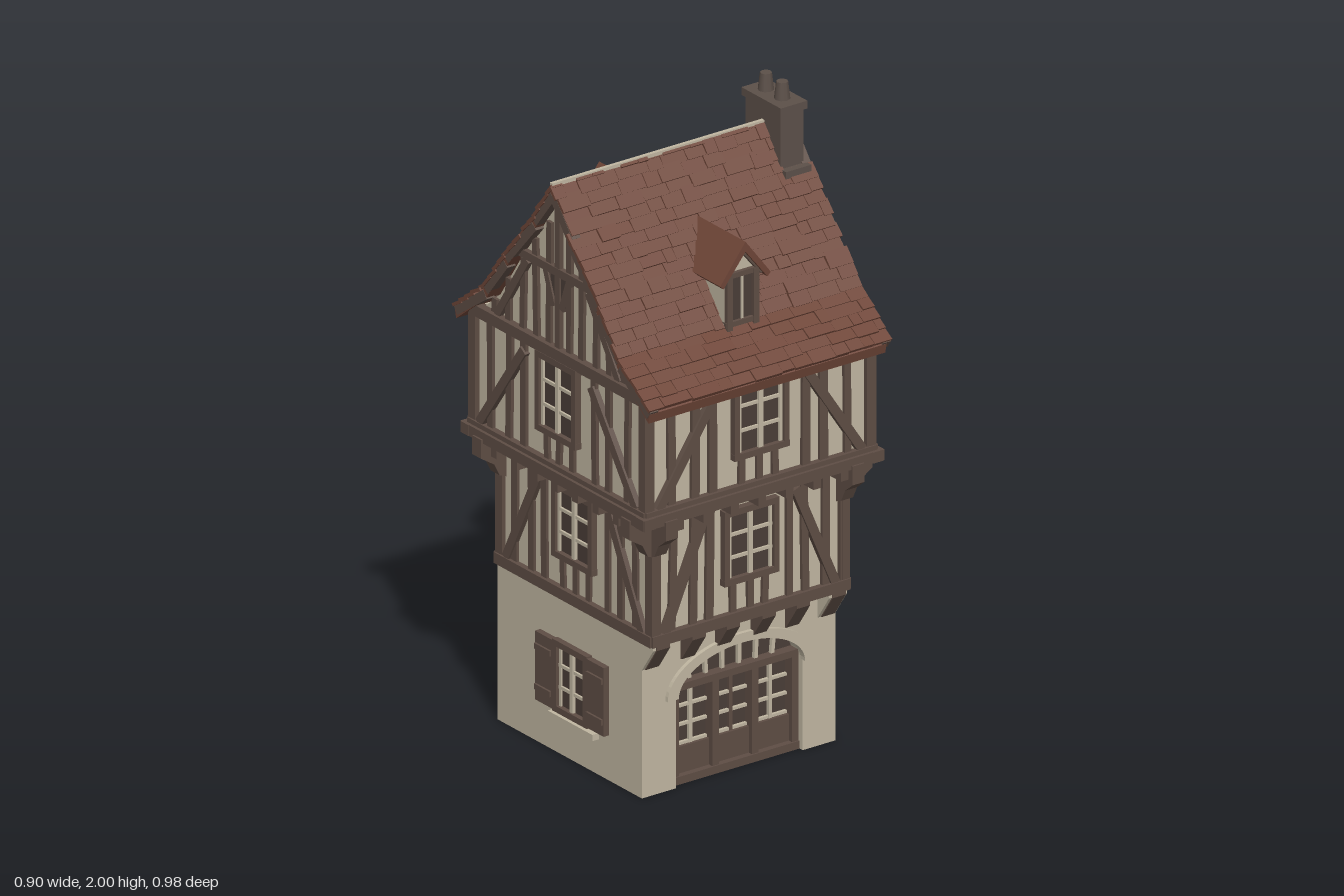
import * as THREE from 'three';
import { mergeGeometries } from 'three/addons/utils/BufferGeometryUtils.js';

const mat = (name, color) => {
  const m = new THREE.MeshStandardMaterial({ color });
  m.name = name;
  return m;
};

export function createModel() {
  const plaster = mat('plaster', 0xc0b6a1);
  const timber = mat('timber', 0x5e4d44);
  const tile = mat('roofTile', 0x6e4537);
  const glass = mat('darkGlass', 0x4a3d37);
  const stone = mat('chimneyStone', 0x5c5049);

  let seed = 7;
  const rand = () => (seed = (seed * 16807) % 2147483647) / 2147483647;
  const jit = (a) => (rand() - 0.5) * 2 * a;

  const house = new THREE.Group();
  house.name = 'timberFramedHouse';
  const group = (name, parent = house, rotY = 0) => {
    const g = new THREE.Group();
    g.name = name;
    g.rotation.y = rotY;
    parent.add(g);
    return g;
  };
  const add = (parent, name, geo, m) => {
    const mesh = new THREE.Mesh(geo, m);
    mesh.name = name;
    parent.add(mesh);
    return mesh;
  };
  // Box given by its limits
  const box = (p, name, m, x0, x1, y0, y1, z0, z1) => {
    const geo = new THREE.BoxGeometry(x1 - x0, y1 - y0, z1 - z0);
    geo.translate((x0 + x1) / 2, (y0 + y1) / 2, (z0 + z1) / 2);
    return add(p, name, geo, m);
  };
  // Beam lying on a facade from (u1, v1) to (u2, v2), outer face at d
  const beam = (p, name, u1, v1, u2, v2, w, d, m = timber, depth = 0.025) => {
    const geo = new THREE.BoxGeometry(w, Math.hypot(u2 - u1, v2 - v1), depth);
    geo.rotateZ(-Math.atan2(u2 - u1, v2 - v1));
    geo.translate((u1 + u2) / 2, (v1 + v2) / 2, d - depth / 2);
    return add(p, name, geo, m);
  };
  const extrude = (shape, z0, z1) => new THREE.ExtrudeGeometry(shape,
    { depth: z1 - z0, bevelEnabled: false, curveSegments: 16 }).translate(0, 0, z0);
  const poly = (pts) => new THREE.Shape(pts.map(([x, y]) => new THREE.Vector2(x, y)));
  // Side profile (z, y) swept from x0 to x1
  const sweepX = (pts, x0, x1) =>
    extrude(poly(pts), 0, x1 - x0).rotateY(-Math.PI / 2).translate(x1, 0, 0);

  // Roof profile, ridge to eaves
  const prof = [[0, 1.868], [0.09, 1.74], [0.23, 1.57], [0.33, 1.435], [0.48, 1.318]];
  const roofY = (z) => {
    z = Math.abs(z);
    let i = 1;
    while (i < prof.length - 1 && prof[i][0] < z) i++;
    const [a, b] = [prof[i - 1], prof[i]];
    return a[1] + ((z - a[0]) / (b[0] - a[0])) * (b[1] - a[1]);
  };
  const across = (drop, shrink = 1) => {
    const half = prof.map(([z, y]) => [z * shrink, y - drop]);
    return [...half.slice(1).reverse().map(([z, y]) => [-z, y]), ...half];
  };

  // Ground floor
  const ground = group('groundFloor');
  box(ground, 'groundWalls', plaster, -0.355, 0.35, 0, 0.51, -0.38, 0.27);
  const front = poly([[-0.355, 0], [-0.355, 0.51], [0.35, 0.51], [0.35, 0], [0.23, 0], [0.23, 0.3]]);
  front.absellipse(0, 0.3, 0.23, 0.115, 0, Math.PI, false);
  front.lineTo(-0.23, 0);
  add(ground, 'frontWall', extrude(front, 0.27, 0.33), plaster);
  const arch = new THREE.Shape();
  arch.absellipse(0, 0.29, 0.27, 0.15, 0, Math.PI, false);
  arch.lineTo(-0.23, 0.29);
  arch.absellipse(0, 0.29, 0.23, 0.12, Math.PI, 0, true);
  add(ground, 'archMoulding', extrude(arch, 0.32, 0.343), plaster);
  const flare = [[0.31, 0.41], [0.33, 0.41], [0.385, 0.49], [0.385, 0.51], [0.31, 0.51]];
  add(ground, 'flaredPier', sweepX(flare, -0.355, -0.29), plaster);
  add(ground, 'flaredPier', sweepX(flare, 0.285, 0.35), plaster);
  for (const x of [-0.32, -0.19, -0.065, 0.065, 0.19, 0.32])
    add(ground, 'corbel', sweepX(flare.map(([z, y]) => [z + 0.004, y]), x - 0.024, x + 0.024), timber);

  // Arched glazed entrance
  const door = group('entrance', ground);
  const opening = poly([[-0.23, 0.015], [0.23, 0.015], [0.23, 0.3]]);
  opening.absellipse(0, 0.3, 0.23, 0.115, 0, Math.PI, false);
  add(door, 'doorGlass', extrude(opening, 0.27, 0.276), glass);
  box(door, 'threshold', timber, -0.23, 0.23, 0, 0.025, 0.26, 0.315);
  for (const x of [-0.218, -0.072, 0.072, 0.218]) beam(door, 'doorPost', x, 0.02, x, 0.31, 0.024, 0.31, timber, 0.04);
  beam(door, 'transom', -0.23, 0.307, 0.23, 0.307, 0.022, 0.31, timber, 0.04);
  for (const x of [-0.145, 0, 0.145]) {
    box(door, 'lowerPanel', timber, x - 0.062, x + 0.062, 0.025, 0.11, 0.27, 0.295);
    beam(door, 'doorMuntin', x, 0.11, x, 0.3, 0.012, 0.287, x ? plaster : timber, 0.012);
    for (const y of [0.115, 0.175, 0.235]) beam(door, 'doorRail', x - 0.06, y, x + 0.06, y, 0.009, 0.286, plaster, 0.01);
  }
  for (const x of [-0.15, -0.09, -0.03, 0.03, 0.09, 0.15])
    beam(door, 'fanlightBar', x, 0.31, x * 1.05, 0.3 + 0.11 * Math.sqrt(1 - (x / 0.23) ** 2), 0.012, 0.29, plaster, 0.012);

  // Casement window with pale glazing bars
  const casement = (p, d, w, v0, v1, rows = 3) => {
    const g = group('window', p);
    box(g, 'windowPane', glass, -w, w, v0, v1, d - 0.008, d);
    for (const v of [v0, v1]) beam(g, 'windowRail', -w - 0.01, v, w + 0.01, v, 0.02, d + 0.016);
    for (const u of [-w, w]) beam(g, 'windowJamb', u, v0, u, v1, 0.018, d + 0.016);
    beam(g, 'windowMullion', 0, v0, 0, v1, 0.016, d + 0.01, plaster, 0.012);
    for (const u of [-w + 0.016, w - 0.016]) beam(g, 'sash', u, v0 + 0.01, u, v1 - 0.01, 0.01, d + 0.007, plaster, 0.01);
    for (let i = 1; i < rows; i++) {
      const v = v0 + ((v1 - v0) * i) / rows;
      beam(g, 'glazingBar', -w + 0.01, v, w - 0.01, v, 0.01, d + 0.007, plaster, 0.01);
    }
  };

  // Upper floors
  box(house, 'middleFloorWalls', plaster, -0.347, 0.347, 0.51, 0.93, -0.37, 0.37);
  box(house, 'upperFloorWalls', plaster, -0.405, 0.405, 0.94, 1.34, -0.42, 0.42);
  box(house, 'jettyFloor', timber, -0.415, 0.415, 0.915, 0.95, -0.435, 0.435);

  // Timber framing of one floor on one facade
  const frame = (p, d, h, y0, y1, w0, w1) => {
    beam(p, 'sillBeam', -h, y0 + 0.015, h, y0 + 0.015, 0.035, d + 0.006, timber, 0.04);
    beam(p, 'headBeam', -h, y1 - 0.012, h, y1 - 0.012, 0.028, d, timber);
    for (const s of [-1, 1]) {
      beam(p, 'cornerPost', s * (h - 0.016), y0, s * (h - 0.016), y1, 0.034, d);
      for (const k of [0.77, 0.56, 0.4])
        beam(p, 'stud', s * h * k + jit(0.006), y0, s * h * k + jit(0.006), y1, 0.026 + jit(0.004), d - 0.004);
      beam(p, 'brace', s * (h - 0.05), y0 + 0.03, s * 0.165, y1 - 0.05, 0.03, d + 0.003);
    }
    for (const u of [-0.06, 0, 0.06]) beam(p, 'shortStud', u + jit(0.006), y0, u + jit(0.006), w0, 0.022, d - 0.004);
    casement(p, d - 0.008, 0.09, w0, w1);
  };

  const sides = [['front', 0, 0], ['right', Math.PI / 2, 1], ['back', Math.PI, 0], ['left', -Math.PI / 2, 1]];
  for (const [name, rot, gable] of sides) {
    const g = group(name + 'Facade', house, rot);
    const d2 = gable ? 0.36 : 0.385, h2 = gable ? 0.385 : 0.36;
    const d3 = gable ? 0.42 : 0.435, h3 = gable ? 0.435 : 0.42;
    frame(g, d2, h2, 0.505, 0.925, 0.64, 0.86);
    frame(g, d3, h3, 0.935, 1.325, 1.06, 1.295);
    beam(g, 'jettyBeam', -h3 - 0.018, 0.935, h3 + 0.018, 0.935, 0.035, d3 + 0.016, timber, 0.04);
    // Joist ends and curved corner brackets under the overhang
    for (let i = -3; i <= 3; i++) box(g, 'joistEnd', timber, i * 0.1 - 0.014, i * 0.1 + 0.014, 0.885, 0.92, d2 - 0.02, d3 + 0.008);
    const bracket = [[d2 - 0.01, 0.79], [d2 + 0.015, 0.8], [d2 + 0.035, 0.84], [d3 + 0.022, 0.87], [d3 + 0.022, 0.93], [d2 - 0.01, 0.93]];
    for (const s of [-1, 1]) add(g, 'cornerBracket', sweepX(bracket, s * (h2 - 0.02) - 0.022, s * (h2 - 0.02) + 0.022), timber);
    if (!gable) continue;

    // Gable framing under the roof slope
    add(g, 'gableWall', extrude(poly(across(0.03, 0.9)), 0.37, 0.405), plaster);
    for (const u of [-0.32, -0.25, -0.18, -0.11, -0.05, 0.05, 0.11, 0.18, 0.25, 0.32])
      beam(g, 'gableStud', u, 1.31, u + jit(0.008), roofY(Math.abs(u) + 0.02) - 0.04, 0.024, 0.416);
    beam(g, 'tieBeam', -0.42, 1.325, 0.42, 1.325, 0.035, 0.43, timber, 0.03);
    beam(g, 'collarBeam', -0.19, 1.585, 0.19, 1.585, 0.026, 0.422);
    box(g, 'atticHatch', glass, -0.04, 0.04, 1.48, 1.58, 0.408, 0.415);
    beam(g, 'kingPost', 0, 1.31, 0, 1.8, 0.026, 0.42);
    for (const s of [-1, 1]) {
      beam(g, 'gableBrace', s * 0.3, 1.34, s * 0.15, 1.57, 0.026, 0.421);
      beam(g, 'upperBrace', s * 0.02, 1.47, s * 0.06, 1.58, 0.022, 0.421);
      for (let i = 1; i < prof.length; i++)
        beam(g, 'bargeBoard', s * prof[i - 1][0], prof[i - 1][1] - 0.035, s * prof[i][0] * 0.99, prof[i][1] - 0.02, 0.03, 0.438, timber, 0.03);
    }

    // Ground floor window with open shutters
    const d1 = name === 'right' ? 0.35 : 0.355;
    casement(g, d1 + 0.004, 0.075, 0.15, 0.36);
    box(g, 'windowSill', plaster, -0.1, 0.12, 0.115, 0.135, d1 - 0.01, d1 + 0.025);
    for (const s of [-1, 1]) {
      box(g, 'shutter', timber, s * 0.127 - 0.042, s * 0.127 + 0.042, 0.145, 0.365, d1 - 0.005, d1 + 0.02);
      for (const v of [0.19, 0.32]) beam(g, 'shutterBatten', s * 0.127 - 0.038, v, s * 0.127 + 0.038, v, 0.018, d1 + 0.027);
    }
  }

  // Roof deck with ragged tile courses
  const outer = across(0.014), inner = across(0.045, 0.985).reverse();
  add(house, 'roofDeck', sweepX([...outer, ...inner], -0.437, 0.425), tile);
  box(house, 'ridgeStrip', plaster, -0.44, 0.34, 1.855, 1.875, -0.008, 0.004);
  const rows = 19;
  const path = new THREE.CurvePath();
  for (let i = 1; i < prof.length; i++)
    path.add(new THREE.LineCurve(new THREE.Vector2(...prof[i - 1]), new THREE.Vector2(...prof[i])));
  const len = path.getLength();
  for (const [name, rot] of [['front', 0], ['back', Math.PI]]) {
    const slope = group(name + 'RoofSlope', house, rot);
    const tiles = [];
    for (let r = 0; r < rows; r++) {
      const p = path.getPointAt((r + 0.5) / rows);
      const t = path.getPointAt((r + 0.9) / rows).sub(path.getPointAt((r + 0.1) / rows));
      const chimneyEnd = p.y > 1.74;
      const x0 = chimneyEnd && rot ? -0.34 : -0.443, x1 = chimneyEnd && !rot ? 0.34 : 0.443;
      for (let x = x0 + jit(0.006); x < x1 - 0.01;) {
        const w = Math.min(0.035 + rand() * 0.08, x1 - x);
        const h = (len / rows) * (1.1 + rand() * 0.3);
        const geo = new THREE.BoxGeometry(w - 0.002, 0.009 + rand() * 0.005, h);
        geo.rotateX(Math.atan2(-t.y, t.x) - 0.1 + jit(0.05));
        geo.translate(x + w / 2, p.y - 0.004, Math.min(p.x, 0.462) + jit(0.003));
        tiles.push(geo);
        x += w;
      }
    }
    add(slope, 'roofTiles', mergeGeometries(tiles), tile);

    // Dormer
    const d = group('dormer', slope);
    add(d, 'dormerBody', extrude(poly([[-0.06, 1.4], [0.06, 1.4], [0.06, 1.6], [0, 1.67], [-0.06, 1.6]]), 0.1, 0.335), plaster);
    add(d, 'dormerRoof', extrude(poly([[0, 1.7], [0.092, 1.58], [0.08, 1.568], [0, 1.668], [-0.08, 1.568], [-0.092, 1.58]]), 0.11, 0.36), tile);
    box(d, 'dormerPane', glass, -0.036, 0.036, 1.45, 1.585, 0.336, 0.341);
    for (const s of [-1, 1]) {
      beam(d, 'dormerPost', s * 0.048, 1.42, s * 0.048, 1.6, 0.02, 0.35);
      beam(d, 'dormerRafter', s * 0.07, 1.583, 0, 1.668, 0.014, 0.35);
    }
    for (const v of [1.44, 1.595]) beam(d, 'dormerRail', -0.06, v, 0.06, v, 0.016, 0.348);
    beam(d, 'dormerMullion', 0, 1.45, 0, 1.59, 0.008, 0.345, plaster, 0.008);
  }

  // Chimney
  const chimney = group('chimney');
  box(chimney, 'chimneyStack', stone, 0.332, 0.415, 1.66, 1.925, -0.088, 0.084);
  box(chimney, 'chimneyBase', stone, 0.332, 0.425, 1.64, 1.745, -0.11, 0.11);
  box(chimney, 'chimneyCap', stone, 0.325, 0.422, 1.92, 1.945, -0.1, 0.094);
  for (const z of [-0.045, 0.035]) {
    const pot = add(chimney, 'chimneyPot', new THREE.CylinderGeometry(0.018, 0.025, 0.06, 8), stone);
    pot.position.set(0.374, 1.97, z);
  }
  return house;
}
